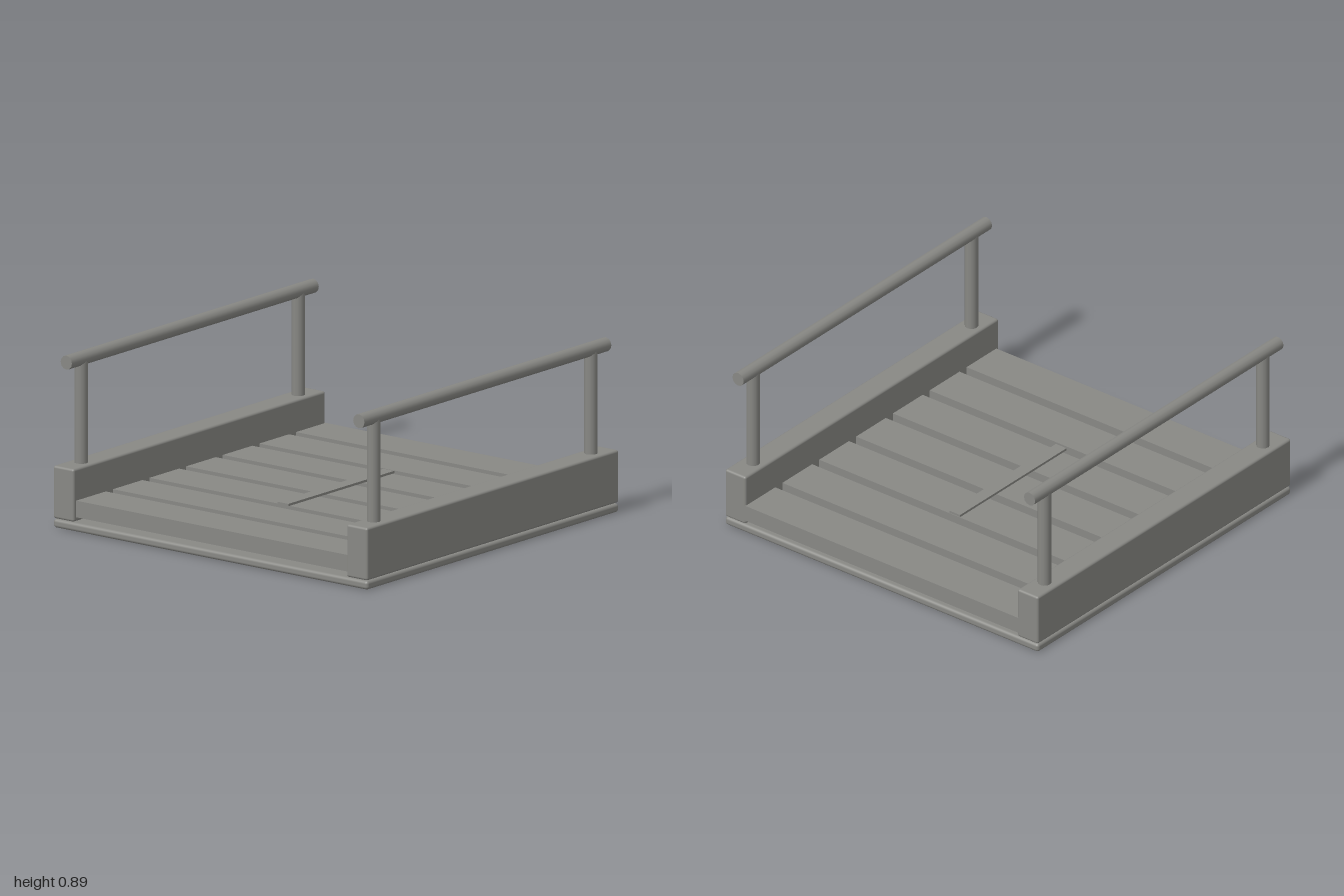
import * as THREE from 'three';
import { RoundedBoxGeometry } from 'three/addons/geometries/RoundedBoxGeometry.js';

export function createModel() {
  const model = new THREE.Group();
  model.name = 'slattedPlatform';
  const grey = new THREE.MeshStandardMaterial({ color: 0x888884 });
  grey.name = 'weathered grey';

  const add = (name, geometry, x, y, z, parent = model) => {
    const mesh = new THREE.Mesh(geometry, grey);
    mesh.name = name;
    mesh.position.set(x, y, z);
    parent.add(mesh);
    return mesh;
  };

  // Thin base slab with softened edges
  add('baseSlab', new RoundedBoxGeometry(2, 0.045, 2, 3, 0.016), 0, 0.0225, 0);

  // Seven deck planks, slightly offset to the left side
  const plank = new THREE.BoxGeometry(0.235, 0.085, 1.76);
  for (let i = 0; i < 7; i++) {
    add('deckPlank', plank, -0.8625 + i * 0.2908, 0.1125, 0);
  }

  // Thin strip lying across the middle of the deck
  add('crossStrip', new THREE.BoxGeometry(0.84, 0.012, 0.068), 0, 0.165, 0);

  // Front and back: kerb beam, two posts and a handrail
  const beam = new RoundedBoxGeometry(2, 0.27, 0.132, 2, 0.012);
  const post = new THREE.CylinderGeometry(0.034, 0.034, 0.55, 12);
  const rail = new THREE.CylinderGeometry(0.036, 0.036, 1.96, 12);
  rail.rotateZ(Math.PI / 2);
  for (const side of [1, -1]) {
    const railing = new THREE.Group();
    railing.name = side > 0 ? 'frontRailing' : 'backRailing';
    model.add(railing);
    add('kerbBeam', beam, 0, 0.183, side * 0.933, railing);
    for (const x of [-0.862, 0.862]) add('railPost', post, x, 0.575, side * 0.93, railing);
    add('handrail', rail, 0, 0.852, side * 0.93, railing);
  }
  return model;
}
